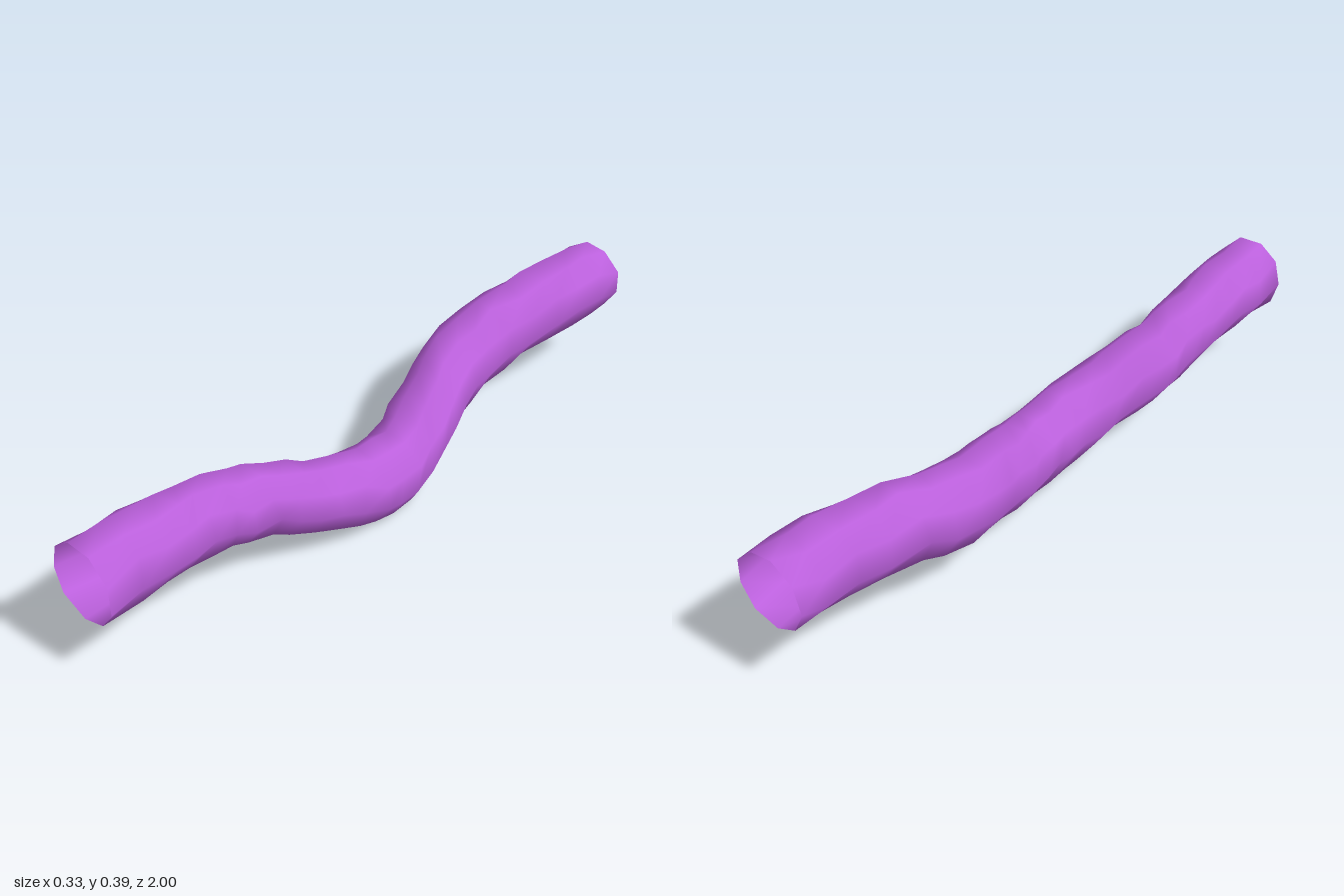
import * as THREE from 'three';

// Stations along the tube: [z, xMin, xMax, yMin, yMax]
const STATIONS = [
  [-1, -0.125, 0.093, 0.18, 0.388],
  [-0.82, -0.135, 0.093, 0.177, 0.393],
  [-0.62, -0.155, 0.062, 0.153, 0.378],
  [-0.44, -0.17, 0.053, 0.117, 0.337],
  [-0.28, -0.13, 0.08, 0.08, 0.3],
  [-0.14, -0.09, 0.13, 0.035, 0.25],
  [0.0, -0.055, 0.16, 0.003, 0.218],
  [0.13, -0.052, 0.165, 0.006, 0.228],
  [0.28, -0.073, 0.143, 0.055, 0.26],
  [0.4, -0.115, 0.108, 0.1, 0.3],
  [0.52, -0.125, 0.08, 0.132, 0.335],
  [0.66, -0.125, 0.076, 0.16, 0.362],
  [0.8, -0.128, 0.093, 0.178, 0.385],
  [1, -0.122, 0.1, 0.172, 0.397],
];
const RINGS = 26;
const SIDES = 9;

// Small seeded noise in -1..1
function makeNoise(seed) {
  let s = seed;
  return () => {
    s = (s * 16807) % 2147483647;
    return (s / 2147483647) * 2 - 1;
  };
}

function tubeGeometry() {
  const noise = makeNoise(4217);
  const centre = new THREE.CatmullRomCurve3(
    STATIONS.map(([z, x0, x1, y0, y1]) => new THREE.Vector3((x0 + x1) / 2, (y0 + y1) / 2, z)),
    false, 'catmullrom', 0.5);
  const radii = new THREE.CatmullRomCurve3(
    STATIONS.map(([, x0, x1, y0, y1]) => new THREE.Vector3((x1 - x0) / 2, (y1 - y0) / 2, 0)),
    false, 'catmullrom', 0.5);

  // Slightly uneven nine-sided rings, with flat open ends
  const positions = [];
  for (let i = 0; i <= RINGS; i++) {
    const c = centre.getPoint(i / RINGS);
    const r = radii.getPoint(i / RINGS);
    const isEnd = i === 0 || i === RINGS;
    const turn = noise() * 0.12 + Math.PI / 2 - Math.PI / SIDES;
    for (let j = 0; j < SIDES; j++) {
      const a = turn + (j / SIDES) * Math.PI * 2 + noise() * 0.06;
      const k = 1.01 + noise() * 0.03;
      positions.push(
        c.x + Math.cos(a) * r.x * k,
        Math.max(0, c.y + Math.sin(a) * r.y * k),
        c.z + (isEnd ? 0 : noise() * 0.012));
    }
  }

  const index = [];
  for (let i = 0; i < RINGS; i++) {
    for (let j = 0; j < SIDES; j++) {
      const a = i * SIDES + j;
      const b = i * SIDES + ((j + 1) % SIDES);
      index.push(a, b, a + SIDES, b, b + SIDES, a + SIDES);
    }
  }

  const geometry = new THREE.BufferGeometry();
  geometry.setAttribute('position', new THREE.Float32BufferAttribute(positions, 3));
  geometry.setIndex(index);
  geometry.computeVertexNormals();
  return geometry;
}

export function createModel() {
  const group = new THREE.Group();
  group.name = 'windingTube';
  const material = new THREE.MeshStandardMaterial({ color: 0xbb60dc, side: THREE.DoubleSide });
  const tube = new THREE.Mesh(tubeGeometry(), material);
  tube.name = 'tubeWall';
  group.add(tube);
  return group;
}
